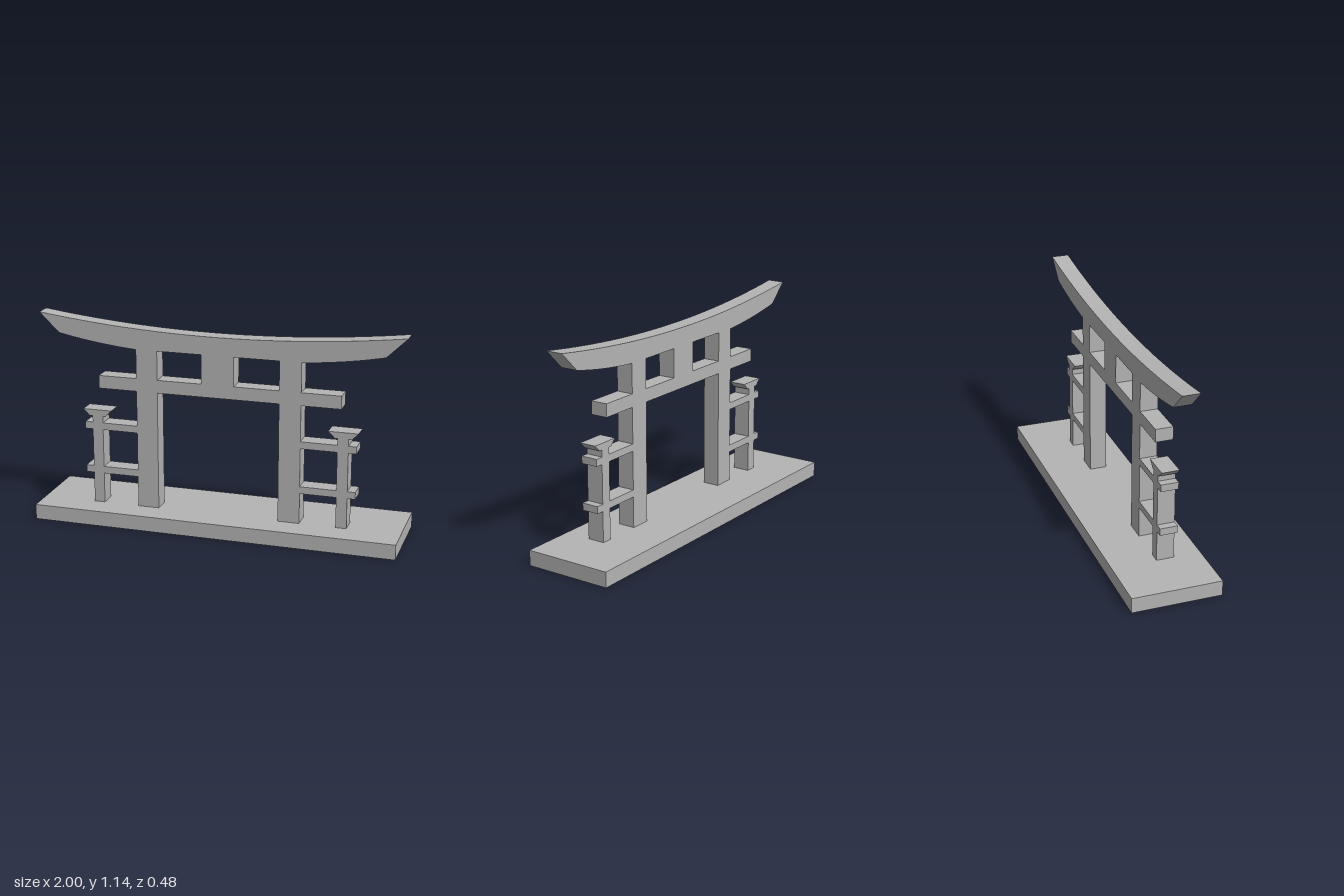
import * as THREE from 'three';

const BASE_TOP = 0.083, DEPTH = 0.095;

export function createModel() {
  const group = new THREE.Group();
  group.name = 'shrineGate';
  const stone = new THREE.MeshStandardMaterial({ color: 0xb4b4b4 });
  stone.name = 'stoneGrey';

  const add = (name, geometry, parent = group) => {
    const mesh = new THREE.Mesh(geometry, stone);
    mesh.name = name;
    parent.add(mesh);
    return mesh;
  };
  // Block of the gate spanning x0..x1 and y0..y1, its back on z = 0
  const bar = (name, x0, x1, y0, y1, parent) =>
    add(name, new THREE.BoxGeometry(x1 - x0, y1 - y0, DEPTH), parent)
      .position.set((x0 + x1) / 2, (y0 + y1) / 2, DEPTH / 2);
  const extrude = (name, shape, parent) =>
    add(name, new THREE.ExtrudeGeometry(shape, { depth: DEPTH, bevelEnabled: false, curveSegments: 24 }), parent);

  // Base slab
  add('base', new THREE.BoxGeometry(2, BASE_TOP, 0.484)).position.y = BASE_TOP / 2;

  // Curved top lintel with slanted ends and a flat middle underside
  const lintel = new THREE.Shape();
  lintel.moveTo(-0.453, 0.968);
  lintel.lineTo(0.453, 0.968);
  lintel.quadraticCurveTo(0.68, 0.984, 0.89, 1.029);
  lintel.lineTo(1, 1.136);
  lintel.quadraticCurveTo(0, 0.998, -1, 1.136);
  lintel.lineTo(-0.89, 1.029);
  lintel.quadraticCurveTo(-0.68, 0.984, -0.453, 0.968);
  extrude('topLintel', lintel);

  // Tie beam between the pillars and the short strut above it
  bar('tieBeam', -0.335, 0.335, 0.737, 0.808);
  bar('centreStrut', -0.089, 0.089, 0.808, 0.968);

  // Each side: main pillar, beam end, and small outer post with rails and cap
  for (const [side, s] of [['left', 1], ['right', -1]]) {
    const half = new THREE.Group();
    half.name = side + 'Side';
    group.add(half);
    const sideBar = (name, a, b, y0, y1) =>
      bar(side + name, Math.min(s * a, s * b), Math.max(s * a, s * b), y0, y1, half);

    sideBar('Pillar', 0.335, 0.453, BASE_TOP, 0.968);
    sideBar('BeamEnd', 0.453, 0.667, 0.737, 0.808);
    sideBar('OuterPost', 0.65, 0.709, BASE_TOP, 0.578);
    for (const [label, y] of [['Lower', 0.252], ['Upper', 0.502]]) {
      sideBar(label + 'Rail', 0.453, 0.65, y, y + 0.039);
      sideBar(label + 'RailEnd', 0.709, 0.752, y, y + 0.039);
    }
    // Flared cap
    const cap = new THREE.Shape([[-0.046, 0.578], [0.046, 0.578], [0.081, 0.613], [-0.081, 0.613]]
      .map(([x, y]) => new THREE.Vector2(x, y)));
    extrude(side + 'PostCap', cap, half).position.x = s * 0.681;
  }
  return group;
}
